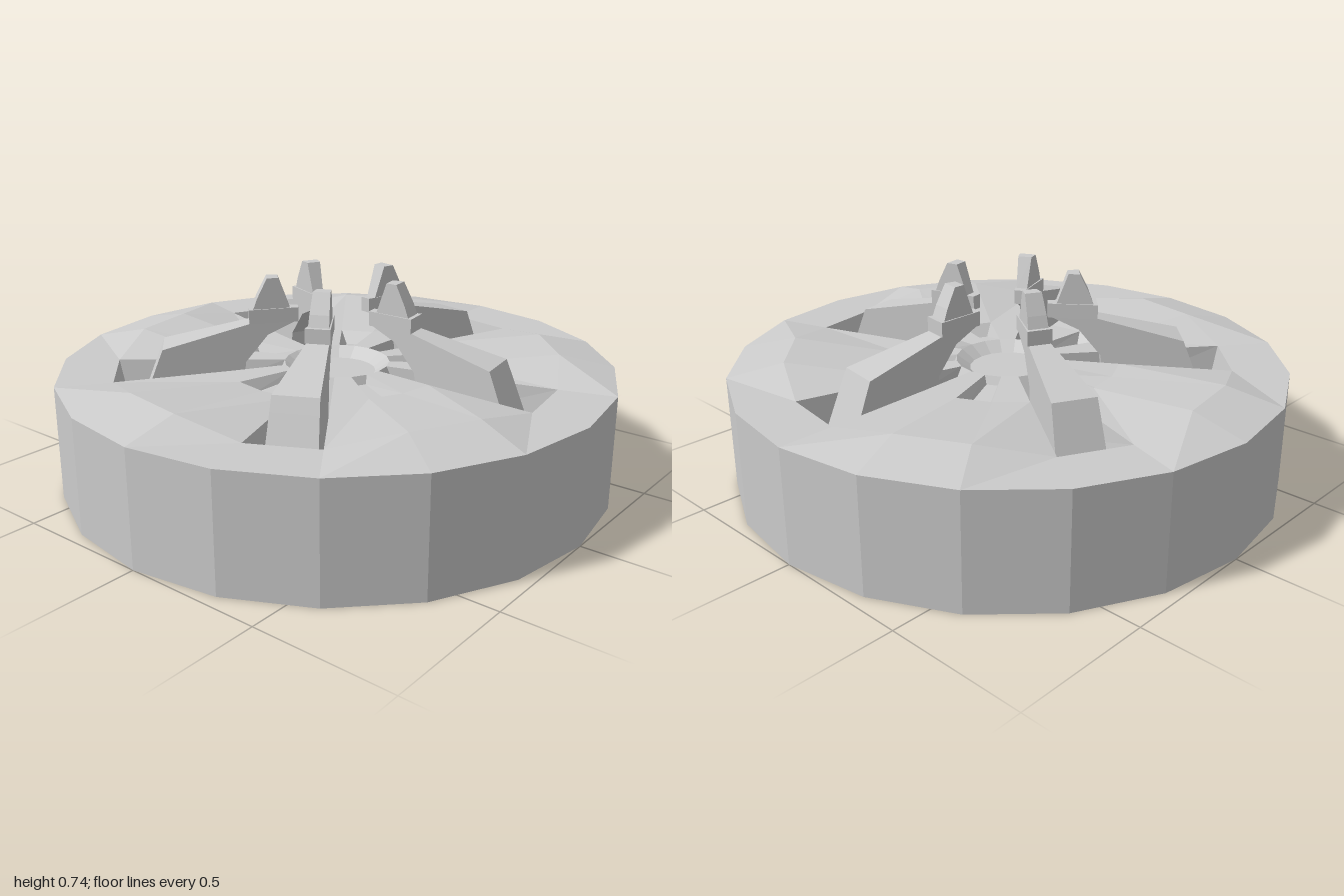
import * as THREE from 'three';

const SIDES = 20, STEP = Math.PI * 2 / SIDES;
const material = new THREE.MeshStandardMaterial({ color: 0xcccccc, flatShading: true });

// Point at radius r on spoke line k (angle runs from +z towards +x)
const polar = (r, k, y) => [r * Math.sin(k * STEP), y, r * Math.cos(k * STEP)];

// Point on the centre line of segment k: distance d outward, w sideways
function onSegment(k, d, w, y) {
  const t = (k + 0.5) * STEP, s = Math.sin(t), c = Math.cos(t);
  return [d * s + w * c, y, d * c - w * s];
}

function facetBuilder() {
  const pos = [];
  return {
    quad(a, b, c, d) { pos.push(...a, ...b, ...c, ...a, ...c, ...d); },
    tri(a, b, c) { pos.push(...a, ...b, ...c); },
    mesh(name) {
      const g = new THREE.BufferGeometry();
      g.setAttribute('position', new THREE.Float32BufferAttribute(pos, 3));
      g.computeVertexNormals();
      const m = new THREE.Mesh(g, material);
      m.name = name;
      return m;
    },
  };
}

// Sloping walls and floor of a sunken pocket
function pocket(f, k, top, dIn, dOut, spread, yIn, yOut) {
  const bottom = [
    onSegment(k, dOut, -dOut * spread, yOut), onSegment(k, dOut, dOut * spread, yOut),
    onSegment(k, dIn, dIn * spread, yIn), onSegment(k, dIn, -dIn * spread, yIn),
  ];
  for (let i = 0; i < 4; i++) {
    const j = (i + 1) % 4;
    f.quad(top[i], top[j], bottom[j], bottom[i]);
  }
  f.quad(...bottom);
}

// Side profile widened into a wedge whose thickness grows with distance from the axis
function wedge(name, points, spread) {
  const shape = new THREE.Shape(points.map(([x, y]) => new THREE.Vector2(x, y)));
  const g = new THREE.ExtrudeGeometry(shape, { depth: 2, bevelEnabled: false });
  const p = g.attributes.position;
  for (let i = 0; i < p.count; i++) p.setZ(i, (p.getZ(i) - 1) * spread * p.getX(i));
  g.computeVertexNormals();
  const m = new THREE.Mesh(g, material);
  m.name = name;
  return m;
}

export function createModel() {
  const model = new THREE.Group();
  model.name = 'prongedDisc';

  const base = facetBuilder(), deck = facetBuilder(), slots = facetBuilder();
  const pockets = facetBuilder(), hub = facetBuilder();

  // Crest is low beside the arm slots and high between them
  const crest = k => polar(0.8, k, k % 4 < 2 ? 0.41 : 0.455);
  const edge = k => polar(1, k, 0.41);
  const middle = k => polar(0.4, k, 0.415);
  const hubRim = k => polar(0.19, k, 0.42);

  for (let k = 0; k < SIDES; k++) {
    const n = k + 1;
    // Outer wall, underside and rim
    base.quad(polar(1, k, 0), polar(1, n, 0), edge(n), edge(k));
    base.tri([0, 0, 0], polar(1, n, 0), polar(1, k, 0));
    deck.quad(edge(k), edge(n), crest(n), crest(k));

    // Dished top, with a long slot or a short pocket in every other segment
    if (k % 4 === 0) {
      pocket(slots, k, [crest(k), crest(n), hubRim(n), hubRim(k)], 0.28, 0.75, 0.13, 0.22, 0.2);
    } else {
      deck.quad(crest(k), crest(n), middle(n), middle(k));
      if (k % 4 === 2) {
        pocket(pockets, k, [middle(k), middle(n), hubRim(n), hubRim(k)], 0.2, 0.36, 0.1, 0.39, 0.37);
      } else {
        deck.quad(middle(k), middle(n), hubRim(n), hubRim(k));
      }
    }

    // Sunken hub
    hub.quad(hubRim(k), hubRim(n), polar(0.14, n, 0.385), polar(0.14, k, 0.385));
    hub.tri(polar(0.14, k, 0.385), polar(0.14, n, 0.385), [0, 0.385, 0]);
  }
  model.add(base.mesh('base'), deck.mesh('deck'), slots.mesh('armSlots'),
    pockets.mesh('smallPockets'), hub.mesh('hub'));

  // Five arms, each with a collar and a pointed claw
  for (let i = 0; i < 5; i++) {
    const prong = new THREE.Group();
    prong.name = 'prong' + (i + 1);
    prong.add(
      wedge('arm', [[0.36, 0.2], [0.74, 0.2], [0.64, 0.455], [0.62, 0.505], [0.31, 0.58],
        [0.15, 0.58], [0.25, 0.535], [0.33, 0.44]], 0.125),
      wedge('collar', [[0.14, 0.578], [0.315, 0.578], [0.315, 0.63], [0.14, 0.63]], 0.14),
      wedge('claw', [[0.17, 0.63], [0.3, 0.63], [0.285, 0.67], [0.25, 0.74], [0.21, 0.74]], 0.12),
    );
    prong.rotation.y = (4 * i + 0.5) * STEP - Math.PI / 2;
    model.add(prong);
  }
  return model;
}
